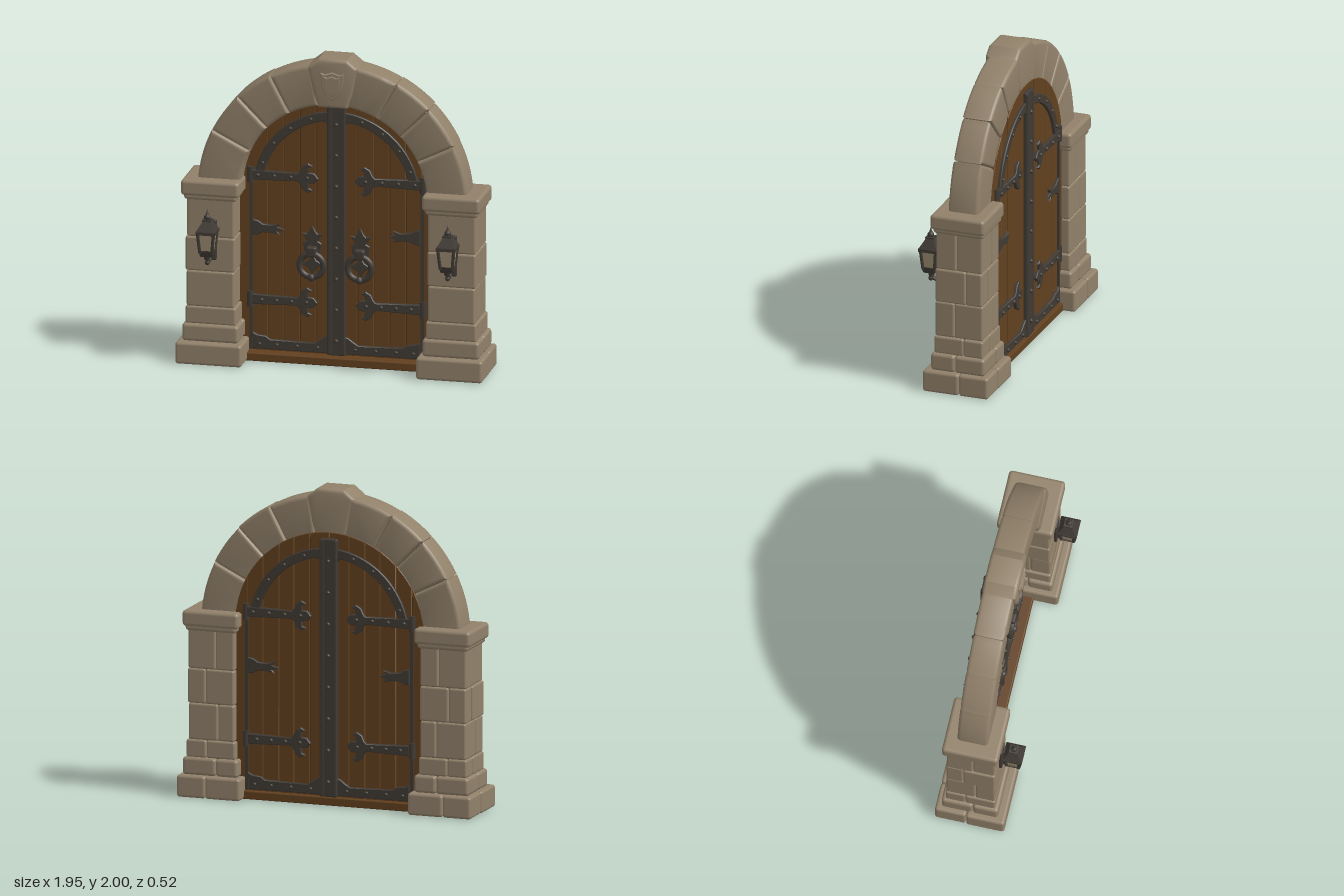
import * as THREE from 'three';
import { toCreasedNormals } from 'three/addons/utils/BufferGeometryUtils.js';
import { RoundedBoxGeometry } from 'three/addons/geometries/RoundedBoxGeometry.js';

const material = (name, color) => Object.assign(new THREE.MeshStandardMaterial({ color }), { name });
const stone = material('stone', 0x91816a);
const mortar = material('mortar', 0x6b5e4b);
const wood = material('wood', 0x62401f);
const darkWood = material('dark wood', 0x3f2814);
const iron = material('iron', 0x403a34);
const glass = material('lamp glass', 0x9c8d70);

const SPRING = 1.1;   // height of the arch centre
const DOOR_Z = -0.105; // middle plane of the door

let seed = 7;
const jitter = (a) => {
  seed = (seed * 16807) % 2147483647;
  return (seed / 2147483647 - 0.5) * 2 * a;
};

function add(parent, name, geometry, mat, x = 0, y = 0, z = 0) {
  const mesh = new THREE.Mesh(geometry, mat);
  mesh.name = name;
  mesh.position.set(x, y, z);
  parent.add(mesh);
  return mesh;
}

// Box given by its limits; s mirrors it in x
function box(parent, name, mat, s, [x0, x1], [y0, y1], [z0, z1], radius = 0) {
  const size = [x1 - x0, y1 - y0, z1 - z0];
  const geometry = radius ? new RoundedBoxGeometry(...size, 3, radius) : new THREE.BoxGeometry(...size);
  return add(parent, name, geometry, mat, s * (x0 + x1) / 2, (y0 + y1) / 2, (z0 + z1) / 2);
}

// Bevelled plate from an outline; s mirrors it in x
function plate(parent, name, mat, s, points, depth, z, bevel) {
  const shape = new THREE.Shape(points.map(([x, y]) => new THREE.Vector2(s * x, y)));
  const geometry = new THREE.ExtrudeGeometry(shape, {
    depth: depth - 2 * bevel, bevelEnabled: true, bevelSize: bevel, bevelThickness: bevel,
    bevelOffset: -bevel, bevelSegments: bevel > 0.01 ? 3 : 1,
  });
  geometry.translate(0, 0, z - depth / 2 + bevel);
  return add(parent, name, toCreasedNormals(geometry, 0.65), mat);
}

// Outline of a ring piece around the arch centre, angles in degrees
function sector(r0, r1, a0, a1, n = 8) {
  const points = [];
  const put = (r, a) => points.push([r * Math.cos(a * Math.PI / 180), SPRING + r * Math.sin(a * Math.PI / 180)]);
  for (let i = 0; i <= n; i++) put(r1, a0 + (a1 - a0) * i / n);
  for (let i = n; i >= 0; i--) put(r0, a0 + (a1 - a0) * i / n);
  return points;
}

function buildPillar(s) {
  const g = new THREE.Group();
  g.name = s > 0 ? 'leftPillar' : 'rightPillar';
  // One course: a front block and two blocks behind it
  const course = (name, [x0, x1], [y0, y1], [z0, z1], zSplit, xSplit, r) => {
    const zs = z0 + (z1 - z0) * zSplit, xs = x0 + (x1 - x0) * xSplit, d = 0.001;
    box(g, name, stone, s, [x0, x1 + jitter(0.004)], [y0, y1], [zs + d, z1 + jitter(0.004)], r);
    box(g, name, stone, s, [x0 + jitter(0.004), xs - d], [y0, y1], [z0, zs - d], r);
    box(g, name, stone, s, [xs + d, x1 + jitter(0.004)], [y0, y1], [z0 + jitter(0.004), zs - d], r);
  };
  box(g, 'pillarCore', mortar, s, [0.63, 0.9], [0.02, 1.15], [-0.18, 0.09]);
  course('baseStone', [0.555, 0.975], [0, 0.14], [-0.26, 0.178], 0.45, 0.55, 0.018);
  course('stepStone', [0.585, 0.945], [0.138, 0.25], [-0.225, 0.135], 0.55, 0.4, 0.02);
  course('shaftStone', [0.605, 0.925], [0.248, 0.36], [-0.205, 0.115], 0.4, 0.6, 0.013);
  course('shaftStone', [0.617, 0.918], [0.36, 0.59], [-0.2, 0.11], 0.6, 0.35, 0.013);
  course('shaftStone', [0.613, 0.922], [0.59, 0.81], [-0.2, 0.112], 0.35, 0.62, 0.013);
  course('shaftStone', [0.617, 0.918], [0.81, 1.07], [-0.2, 0.11], 0.55, 0.4, 0.013);
  box(g, 'capNeck', stone, s, [0.6, 0.935], [1.05, 1.12], [-0.212, 0.122], 0.02);
  box(g, 'capStone', stone, s, [0.582, 0.952], [1.078, 1.178], [-0.222, 0.135], 0.022);
  return g;
}

function buildArch() {
  const g = new THREE.Group();
  g.name = 'arch';
  const joints = [3.5, 26.5, 45, 62, 81];
  for (const s of [1, -1]) {
    plate(g, 'archCore', mortar, s, sector(0.625, 0.835, 4, 90, 20), 0.15, -0.047, 0.005);
    for (let i = 0; i < 4; i++) {
      plate(g, 'archStone', stone, s,
        sector(0.597, 0.862 + jitter(0.006), joints[i] + 0.1, joints[i + 1] - 0.1), 0.195 + jitter(0.004), -0.047, 0.022);
    }
  }
  plate(g, 'keystone', stone, 1, [[-0.09, 1.685], [0.09, 1.685], [0.125, 1.78], [0.157, 1.945],
    [0.09, 1.998], [-0.09, 1.998], [-0.157, 1.945], [-0.125, 1.78]], 0.215, -0.038, 0.022);
  // Plain raised shield
  const shield = (k) => [[0, 0.085], [0.045, 0.07], [0.075, 0.08], [0.068, 0], [0.045, -0.06], [0, -0.1],
    [-0.045, -0.06], [-0.068, 0], [-0.075, 0.08], [-0.045, 0.07]].map(([x, y]) => [x * k, 1.835 + y * k]);
  plate(g, 'shieldRelief', stone, 1, shield(1), 0.02, 0.069, 0.006);
  plate(g, 'shieldFace', stone, 1, shield(0.72), 0.012, 0.08, 0.005);
  return g;
}

// Hinge strap with a forked tip, running from x0 inward to x1
function strap(g, s, x0, x1, y) {
  const half = [[x0, 0.033], [x1 + 0.13, 0.025], [x1 + 0.115, 0.04], [x1 + 0.1, 0.075], [x1 + 0.065, 0.095],
    [x1 + 0.035, 0.078], [x1 + 0.06, 0.065], [x1 + 0.062, 0.035], [x1 + 0.025, 0.032]];
  const outline = [...half, [x1, 0], ...half.map(([a, b]) => [a, -b]).reverse()];
  plate(g, 'hingeStrap', iron, s, outline.map(([a, b]) => [a, y + b]), 0.13, DOOR_Z, 0.005);
  for (let i = 0; i < 4; i++) rivet(g, s * (x0 - 0.06 - i * (x0 - x1 - 0.13) / 3), y);
}

// Rivet heads on both faces of the door
function rivet(g, x, y, r = 0.013, reach = 0.066) {
  for (const f of [1, -1]) add(g, 'rivet', new THREE.SphereGeometry(r, 8, 6), iron, x, y, DOOR_Z + f * reach);
}

function buildDoorLeaf(s) {
  const g = new THREE.Group();
  g.name = s > 0 ? 'leftDoor' : 'rightDoor';
  const top = (x, r) => SPRING + Math.sqrt(Math.max(0, r * r - x * x));
  // Vertical planks cut to the arch over a dark core
  plate(g, 'doorCore', darkWood, s, [[0, 0.04], [0.6, 0.04], ...sector(0, 0.605, 0, 90, 16).slice(0, 17)], 0.07, DOOR_Z, 0.002);
  const edges = [0, 0.13, 0.235, 0.335, 0.44, 0.545, 0.625];
  for (let i = 0; i < 6; i++) {
    const a = edges[i] + 0.0015, b = edges[i + 1] - 0.0015;
    const arc = [0, 1, 2, 3, 4].map((k) => b + (a - b) * k / 4).map((x) => [x, top(x, 0.628)]);
    plate(g, 'plank', wood, s, [[a, 0.045], [b, 0.045], ...arc], 0.09 + jitter(0.004), DOOR_Z, 0.004);
  }
  // Iron edging: curved band, jamb strip and bottom rail with raised corners
  plate(g, 'archBand', iron, s, sector(0.472, 0.53, 9, 86, 20), 0.125, DOOR_Z, 0.005);
  plate(g, 'topCorner', iron, s, [[0.04, 1.53], [0.07, 1.56], [0.14, 1.565], [0.14, 1.61], [0.04, 1.63]], 0.122, DOOR_Z, 0.004);
  box(g, 'jambStrip', iron, s, [0.535, 0.555], [0.06, 1.2], [DOOR_Z - 0.055, DOOR_Z + 0.055]);
  plate(g, 'bottomRail', iron, s, [[0.04, 0.065], [0.53, 0.065], [0.535, 0.17], [0.5, 0.155], [0.45, 0.15], [0.42, 0.13],
    [0.14, 0.125], [0.11, 0.145], [0.075, 0.17], [0.04, 0.18]], 0.125, DOOR_Z, 0.005);
  for (const a of [20, 37, 54, 71]) {
    rivet(g, s * 0.5 * Math.cos(a * Math.PI / 180), SPRING + 0.5 * Math.sin(a * Math.PI / 180), 0.012, 0.063);
  }
  for (const x of [0.12, 0.25, 0.38, 0.49]) rivet(g, s * x, 0.098, 0.012, 0.063);
  strap(g, s, 0.56, 0.115, 1.19);
  strap(g, s, 0.535, 0.12, 0.385);
  plate(g, 'middleStrap', iron, s, [[0.535, 0.8], [0.535, 0.9], [0.5, 0.895], [0.47, 0.875], [0.41, 0.87], [0.36, 0.885],
    [0.375, 0.86], [0.33, 0.845], [0.375, 0.83], [0.36, 0.808], [0.41, 0.82], [0.47, 0.82], [0.5, 0.803]], 0.125, DOOR_Z, 0.005);
  for (const y of [1.19, 0.385]) {
    add(g, 'hingeBarrel', new THREE.CylinderGeometry(0.024, 0.024, 0.1, 12), iron, s * 0.55, y, DOOR_Z + 0.045);
    add(g, 'hingeBarrel', new THREE.CylinderGeometry(0.02, 0.02, 0.1, 12), iron, s * 0.55, y, DOOR_Z - 0.05);
  }
  // Ring handle, front only
  const x = 0.153, z = DOOR_Z + 0.05;
  const crest = [[0.045, 0.69], [0.06, 0.77], [0.035, 0.785], [0.065, 0.835], [0.035, 0.83], [0.022, 0.845], [0, 0.885]];
  plate(g, 'handlePlate', iron, s, [...crest, ...crest.slice(0, -1).map(([a, b]) => [-a, b]).reverse()]
    .map(([a, b]) => [x + a, b]), 0.025, z, 0.005);
  const star = Array.from({ length: 8 }, (_, i) => {
    const r = i % 2 ? 0.035 : 0.068, a = i * Math.PI / 4;
    return [x + r * Math.cos(a), 0.635 + r * Math.sin(a)];
  });
  plate(g, 'handleRosette', iron, s, star, 0.025, z, 0.005);
  box(g, 'handleMount', iron, s, [x - 0.032, x + 0.032], [0.69, 0.755], [z, z + 0.055], 0.012);
  add(g, 'handleRing', new THREE.TorusGeometry(0.076, 0.02, 10, 28), iron, s * x, 0.635, z + 0.035);
  add(g, 'ringKnob', new THREE.SphereGeometry(0.025, 12, 8), iron, s * x, 0.558, z + 0.04);
  return g;
}

function buildLantern(s) {
  const g = new THREE.Group();
  g.name = s > 0 ? 'leftLantern' : 'rightLantern';
  g.position.set(s * 0.765, 0, 0.197);
  // Square frustum given by half widths and heights
  const frustum = (name, mat, w0, w1, y0, y1) => {
    const geometry = new THREE.CylinderGeometry(w1 * Math.SQRT2, w0 * Math.SQRT2, y1 - y0, 4).rotateY(Math.PI / 4);
    return add(g, name, toCreasedNormals(geometry, 0.3), mat, 0, (y0 + y1) / 2, 0);
  };
  frustum('lampGlass', glass, 0.038, 0.05, 0.75, 0.88);
  frustum('lampBase', iron, 0.036, 0.048, 0.72, 0.76);
  frustum('lampRim', iron, 0.062, 0.062, 0.865, 0.885);
  frustum('lampRoof', iron, 0.06, 0.022, 0.885, 0.95);
  frustum('roofCap', iron, 0.028, 0.028, 0.945, 0.955);
  add(g, 'finial', new THREE.ConeGeometry(0.018, 0.06, 8), iron, 0, 0.99, 0);
  add(g, 'finialBall', new THREE.SphereGeometry(0.021, 10, 8), iron, 0, 0.967, 0);
  add(g, 'lampDrop', new THREE.CylinderGeometry(0.02, 0.01, 0.05, 8), iron, 0, 0.7, 0);
  add(g, 'dropBall', new THREE.SphereGeometry(0.016, 10, 8), iron, 0, 0.675, 0);
  // Leaning corner bars
  for (const a of [1, -1]) for (const b of [1, -1]) {
    const bar = new THREE.LineCurve3(new THREE.Vector3(a * 0.038, 0.745, b * 0.038), new THREE.Vector3(a * 0.051, 0.875, b * 0.051));
    add(g, 'cornerBar', new THREE.TubeGeometry(bar, 1, 0.011, 6), iron);
  }
  // Wall plate and curled bracket
  box(g, 'wallPlate', iron, 1, [-0.04, 0.04], [0.67, 0.93], [-0.095, -0.067], 0.008);
  box(g, 'upperBracket', iron, 1, [-0.015, 0.015], [0.86, 0.89], [-0.08, 0]);
  add(g, 'bracketCurl', new THREE.TorusGeometry(0.03, 0.012, 8, 18), iron, 0, 0.7, -0.04).rotation.y = Math.PI / 2;
  return g;
}

export function createModel() {
  const model = new THREE.Group();
  model.name = 'archedDoorway';
  model.add(buildArch());
  for (const s of [1, -1]) model.add(buildPillar(s), buildDoorLeaf(s), buildLantern(s));
  // Wooden sill and the iron post where the leaves meet
  box(model, 'sill', wood, 1, [-0.62, 0.62], [0.002, 0.055], [-0.18, 0.02], 0.008);
  box(model, 'centrePost', iron, 1, [-0.058, 0.058], [0.055, 1.69], [DOOR_Z - 0.07, DOOR_Z + 0.07], 0.008);
  for (const x of [-0.042, 0.042]) {
    box(model, 'postRib', iron, 1, [x - 0.012, x + 0.012], [0.06, 1.68], [DOOR_Z - 0.075, DOOR_Z + 0.075], 0.004);
  }
  for (let i = 0; i < 8; i++) rivet(model, 0, 0.15 + i * 0.2, 0.014, 0.072);
  return model;
}
